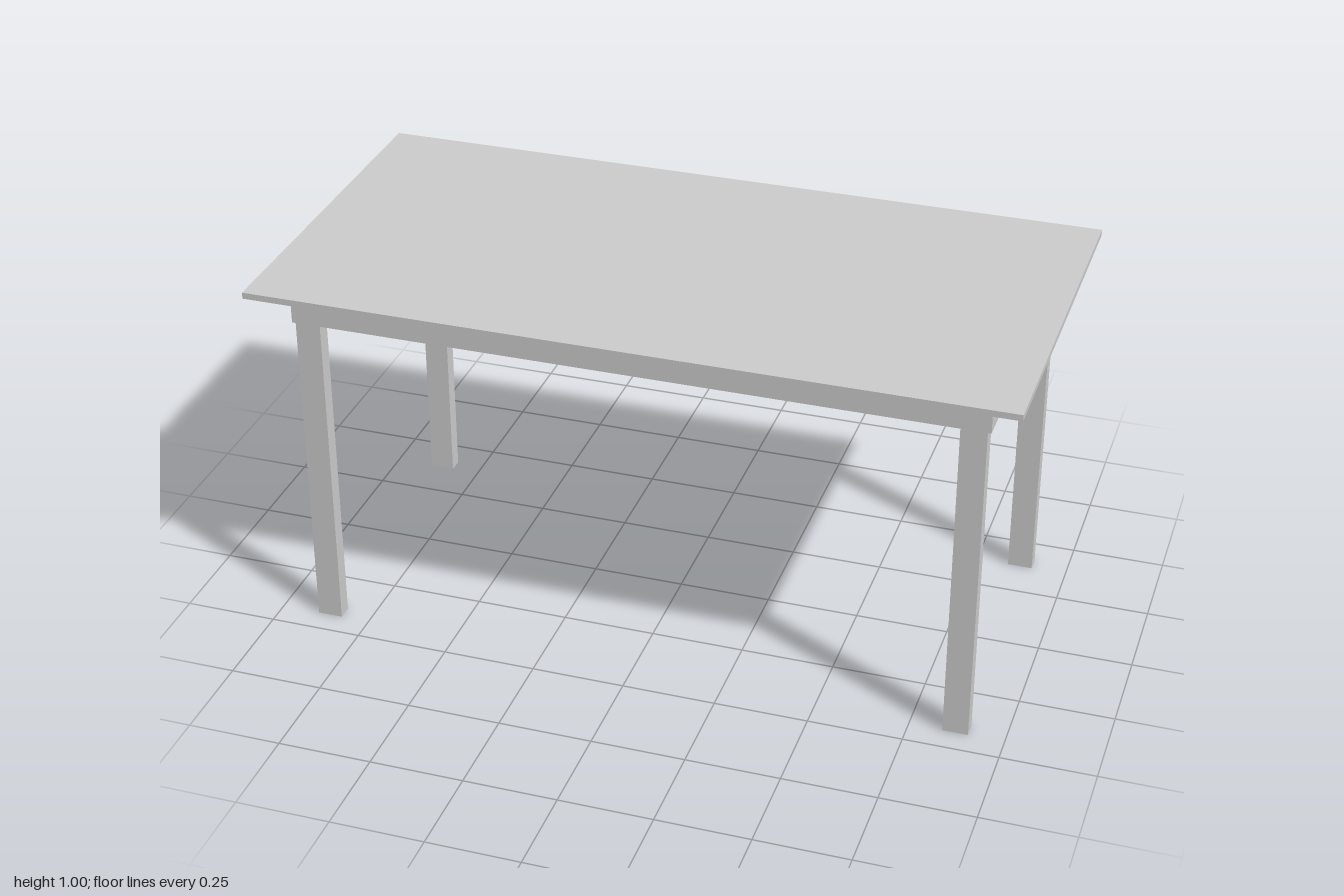
import * as THREE from 'three';

export function createModel() {
  const table = new THREE.Group();
  table.name = 'table';
  const material = new THREE.MeshStandardMaterial({ color: 0xcccccc, flatShading: true });

  // Box given by its lower and upper corners
  const addBox = (name, [x0, y0, z0], [x1, y1, z1]) => {
    const mesh = new THREE.Mesh(new THREE.BoxGeometry(x1 - x0, y1 - y0, z1 - z0), material);
    mesh.position.set((x0 + x1) / 2, (y0 + y1) / 2, (z0 + z1) / 2);
    mesh.name = name;
    table.add(mesh);
  };

  // Thin overhanging top and the closed frame under it
  addBox('tableTop', [-1, 0.985, -0.507], [1, 1.002, 0.507]);
  addBox('apron', [-0.905, 0.894, -0.416], [0.914, 0.985, 0.432]);

  // Four straight legs, set slightly in from the frame ends
  const legWidth = 0.067, legDepth = 0.041;
  for (const [side, x] of [['Right', -0.895], ['Left', 0.838]]) {
    for (const [end, z] of [['front', 0.391], ['back', -0.415]]) {
      addBox(`${end}${side}Leg`, [x, 0, z], [x + legWidth, 0.894, z + legDepth]);
    }
  }
  return table;
}
